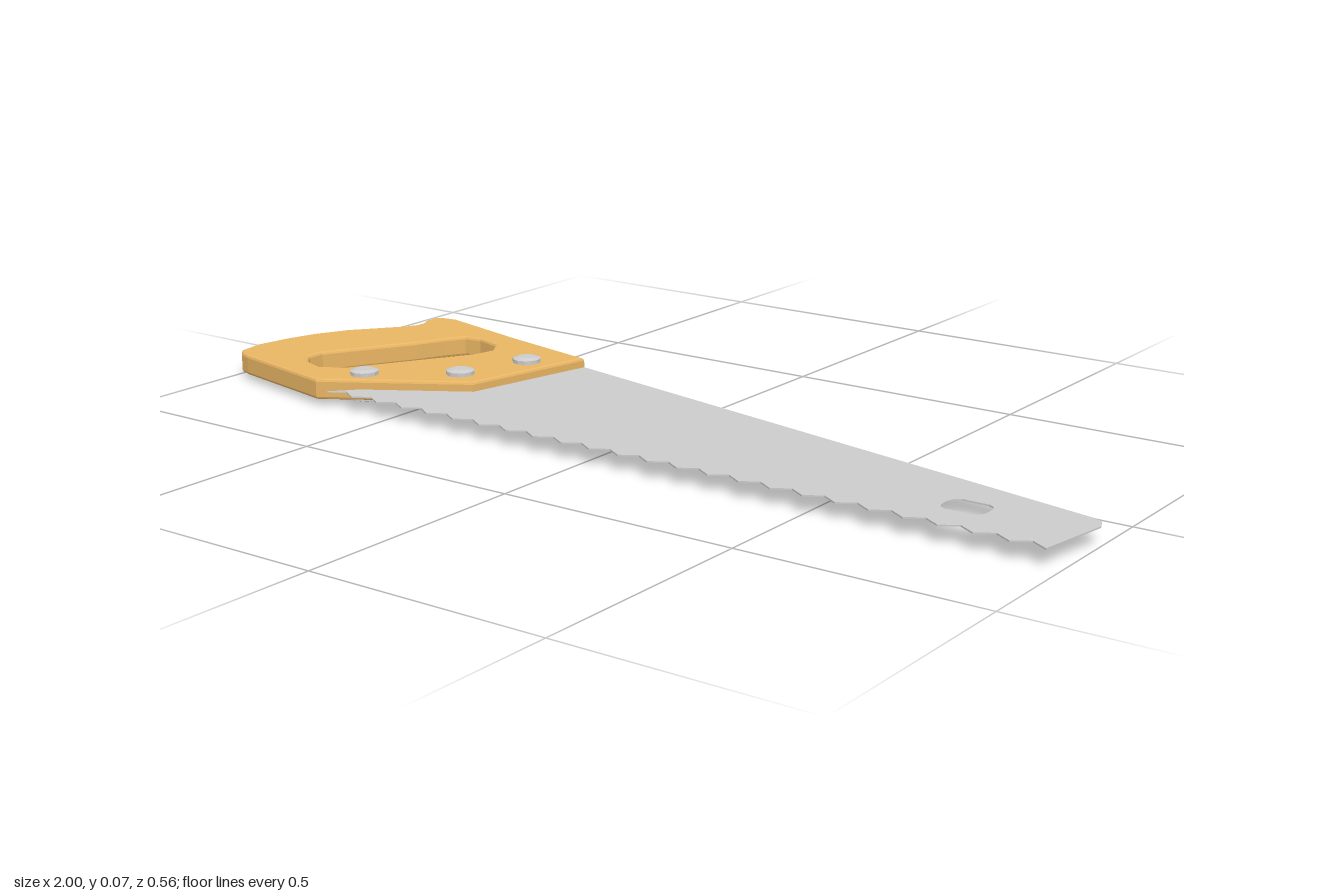
import * as THREE from 'three';

const wood = new THREE.MeshStandardMaterial({ color: 0xe8b564 });
const steel = new THREE.MeshStandardMaterial({ color: 0xcccccc });
const screwSteel = new THREE.MeshStandardMaterial({ color: 0xcccccc, flatShading: true });
const MID = 0.035; // height of the blade plane

const points = (list) => list.map(([x, z]) => new THREE.Vector2(x, z));

// Extrudes an outline drawn in (x, z) into a flat plate centred on the blade plane
function plate(name, outline, hole, thickness, bevel, material) {
  const shape = new THREE.Shape(points(outline));
  shape.holes.push(new THREE.Path(points(hole)));
  const depth = thickness - 2 * bevel;
  const geometry = new THREE.ExtrudeGeometry(shape, {
    depth, bevelEnabled: bevel > 0, bevelSize: bevel, bevelThickness: bevel,
    bevelOffset: -bevel, bevelSegments: 2,
  });
  geometry.translate(0, 0, -depth / 2).rotateX(Math.PI / 2).translate(0, MID, 0);
  const mesh = new THREE.Mesh(geometry, material);
  mesh.name = name;
  return mesh;
}

function makeHandle() {
  const outline = [
    [-0.795, -0.283], [-0.832, -0.278], [-0.849, -0.262], [-0.848, -0.242],
    [-0.836, -0.212], [-0.836, -0.19], [-0.847, -0.168], [-0.93, -0.065],
    [-0.966, 0.005], [-0.985, 0.07], [-0.998, 0.145], [-0.99, 0.198],
    [-0.972, 0.216], [-0.945, 0.226], [-0.69, 0.279], [-0.412, 0.107],
    [-0.348, -0.18], [-0.583, -0.23],
  ];
  const grip = [
    [-0.674, -0.171], [-0.636, -0.177], [-0.578, -0.16], [-0.551, -0.118],
    [-0.562, -0.07], [-0.706, 0.171], [-0.754, 0.2], [-0.807, 0.182],
    [-0.834, 0.15], [-0.834, 0.112], [-0.727, -0.07], [-0.7, -0.128],
  ];
  return plate('handle', outline, grip, 0.044, 0.006, wood);
}

function makeBlade() {
  const outline = [
    [-0.62, 0.24], [-0.45, -0.08], [-0.4, -0.186], [-0.348, -0.18],
    [0.965, 0.091], [0.988, 0.101], [0.998, 0.125], [0.973, 0.28],
  ];
  // Saw teeth, running back from the tip to the handle
  const teeth = 24, pitch = 1.63 / teeth;
  for (let i = 0; i < teeth; i++) {
    const x = 0.973 - i * pitch;
    outline.push([x - pitch / 2, 0.259], [x - pitch, 0.28]);
  }
  // Hanging slot with rounded corners
  const slot = [
    [0.737, 0.134], [0.79, 0.134], [0.803, 0.141], [0.808, 0.155],
    [0.808, 0.178], [0.803, 0.191], [0.79, 0.198], [0.737, 0.198],
    [0.726, 0.191], [0.721, 0.178], [0.721, 0.155], [0.726, 0.141],
  ];
  return plate('blade', outline, slot, 0.003, 0, steel);
}

// A screw through the handle with a low chamfered head on each face
function makeScrew(x, z) {
  const profile = points([
    [0, -0.034], [0.018, -0.034], [0.03, -0.03], [0.03, -0.021],
    [0.012, -0.02], [0.012, 0.02],
    [0.03, 0.021], [0.03, 0.03], [0.018, 0.034], [0, 0.034],
  ]);
  const screw = new THREE.Mesh(new THREE.LatheGeometry(profile, 12), screwSteel);
  screw.position.set(x, MID, z);
  screw.name = 'handleScrew';
  return screw;
}

export function createModel() {
  const saw = new THREE.Group();
  saw.name = 'handSaw';
  saw.add(makeHandle(), makeBlade());
  for (const [x, z] of [[-0.428, -0.085], [-0.477, 0.072], [-0.637, 0.19]]) {
    saw.add(makeScrew(x, z));
  }
  // Rest the lower screw heads on the ground
  saw.position.y = -0.001;
  return saw;
}
